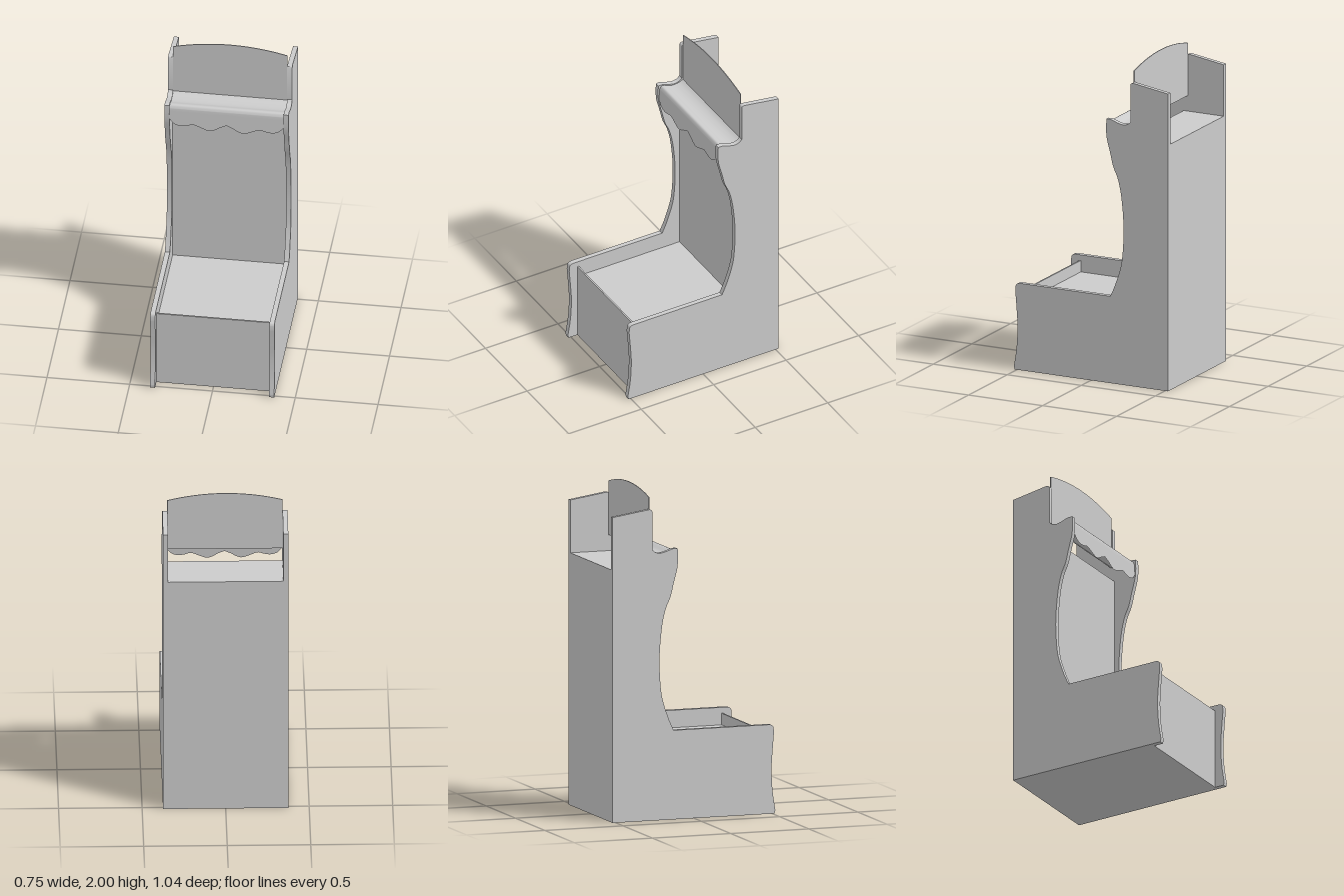
import * as THREE from 'three';
import { toCreasedNormals } from 'three/addons/utils/BufferGeometryUtils.js';

const INNER = 0.345, THICK = 0.03;
const vecs = (pts) => pts.map(([a, b]) => new THREE.Vector2(a, b));

export function createModel() {
  const group = new THREE.Group();
  const mat = new THREE.MeshStandardMaterial({ color: 0xcccccc });
  const thin = new THREE.MeshStandardMaterial({ color: 0xcccccc, side: THREE.DoubleSide });

  const add = (name, geo, material = mat) => {
    const mesh = new THREE.Mesh(geo, material);
    mesh.name = name;
    group.add(mesh);
    return mesh;
  };

  // Extrude a (z, y) outline sideways, from xMax towards -x
  const sideways = (shape, width, xMax) => {
    const geo = new THREE.ExtrudeGeometry(shape, { depth: width, bevelEnabled: false, curveSegments: 12 });
    geo.rotateY(-Math.PI / 2).translate(xMax, 0, 0);
    return toCreasedNormals(geo, 0.5);
  };

  // Side panels with a curved front edge
  const side = new THREE.Shape();
  side.moveTo(-0.52, 0);
  side.lineTo(0.515, 0);
  side.lineTo(0.52, 0.02);
  side.splineThru(vecs([[0.502, 0.14], [0.496, 0.27], [0.502, 0.38], [0.511, 0.49]]));
  side.lineTo(0.509, 0.52);
  side.quadraticCurveTo(0.505, 0.54, 0.48, 0.54);
  side.lineTo(-0.13, 0.54);
  side.splineThru(vecs([[-0.165, 0.62], [-0.205, 0.75], [-0.219, 0.9], [-0.218, 1.03],
    [-0.203, 1.18], [-0.18, 1.28], [-0.15, 1.35], [-0.13, 1.43], [-0.107, 1.52], [-0.102, 1.58]]));
  side.lineTo(-0.104, 1.64);
  side.splineThru(vecs([[-0.135, 1.64], [-0.18, 1.625], [-0.215, 1.618], [-0.245, 1.624], [-0.266, 1.64]]));
  side.lineTo(-0.266, 1.87);
  side.quadraticCurveTo(-0.268, 1.886, -0.288, 1.885);
  side.lineTo(-0.52, 1.85);
  side.closePath();
  add('leftSidePanel', sideways(side, THICK, INNER + THICK));
  add('rightSidePanel', sideways(side, THICK, -INNER));

  // Cabinet body: base with a front lip, recessed deck, tall back box
  const body = new THREE.Shape(vecs([[-0.52, 0], [0.455, 0], [0.455, 0.505], [0.445, 0.505],
    [0.445, 0.434], [-0.25, 0.434], [-0.25, 1.53], [-0.52, 1.53]]));
  add('cabinetBody', sideways(body, INNER * 2, INNER));

  // Arched top sign
  const sign = new THREE.Shape();
  sign.moveTo(-INNER, 1.627);
  sign.lineTo(INNER, 1.627);
  sign.lineTo(INNER, 1.955);
  sign.quadraticCurveTo(0, 2.045, -INNER, 1.955);
  sign.closePath();
  const signGeo = new THREE.ExtrudeGeometry(sign, { depth: 0.005, bevelEnabled: false, curveSegments: 24 });
  add('topSign', toCreasedNormals(signGeo.translate(0, 0, -0.278), 0.5));

  // Thin canopy: dipped roof that turns down into a scalloped valance
  const roof = new THREE.SplineCurve(vecs([[-0.275, 1.63], [-0.25, 1.617], [-0.215, 1.611],
    [-0.18, 1.615], [-0.145, 1.631], [-0.125, 1.631], [-0.113, 1.612]])).getPoints(24);
  const hem = new THREE.SplineCurve(vecs([[0, 1.523], [0.04, 1.505], [0.075, 1.484], [0.108, 1.477],
    [0.15, 1.492], [0.2, 1.511], [0.235, 1.502], [0.275, 1.496], [0.315, 1.508], [INNER, 1.54]]));
  const COLS = 60, DROP = 6;
  const rows = roof.length + DROP;
  const pos = [], index = [];
  for (let i = 0; i <= COLS; i++) {
    const t = (2 * i) / COLS - 1;
    const edge = hem.getPoint(Math.abs(t));
    const x = Math.sign(t) * edge.x;
    roof.forEach((p) => pos.push(x, p.y, p.x));
    for (let k = 1; k <= DROP; k++) {
      const y = THREE.MathUtils.lerp(1.612, edge.y, k / DROP);
      pos.push(x, y, -0.113 + (1.612 - y) * 0.07);
    }
    if (i === COLS) break;
    for (let j = 0; j < rows - 1; j++) {
      const a = i * rows + j, b = a + rows;
      index.push(a, a + 1, b, b, a + 1, b + 1);
    }
  }
  const canopy = new THREE.BufferGeometry();
  canopy.setAttribute('position', new THREE.Float32BufferAttribute(pos, 3));
  canopy.setIndex(index);
  canopy.computeVertexNormals();
  add('scallopedCanopy', canopy, thin);

  return group;
}
